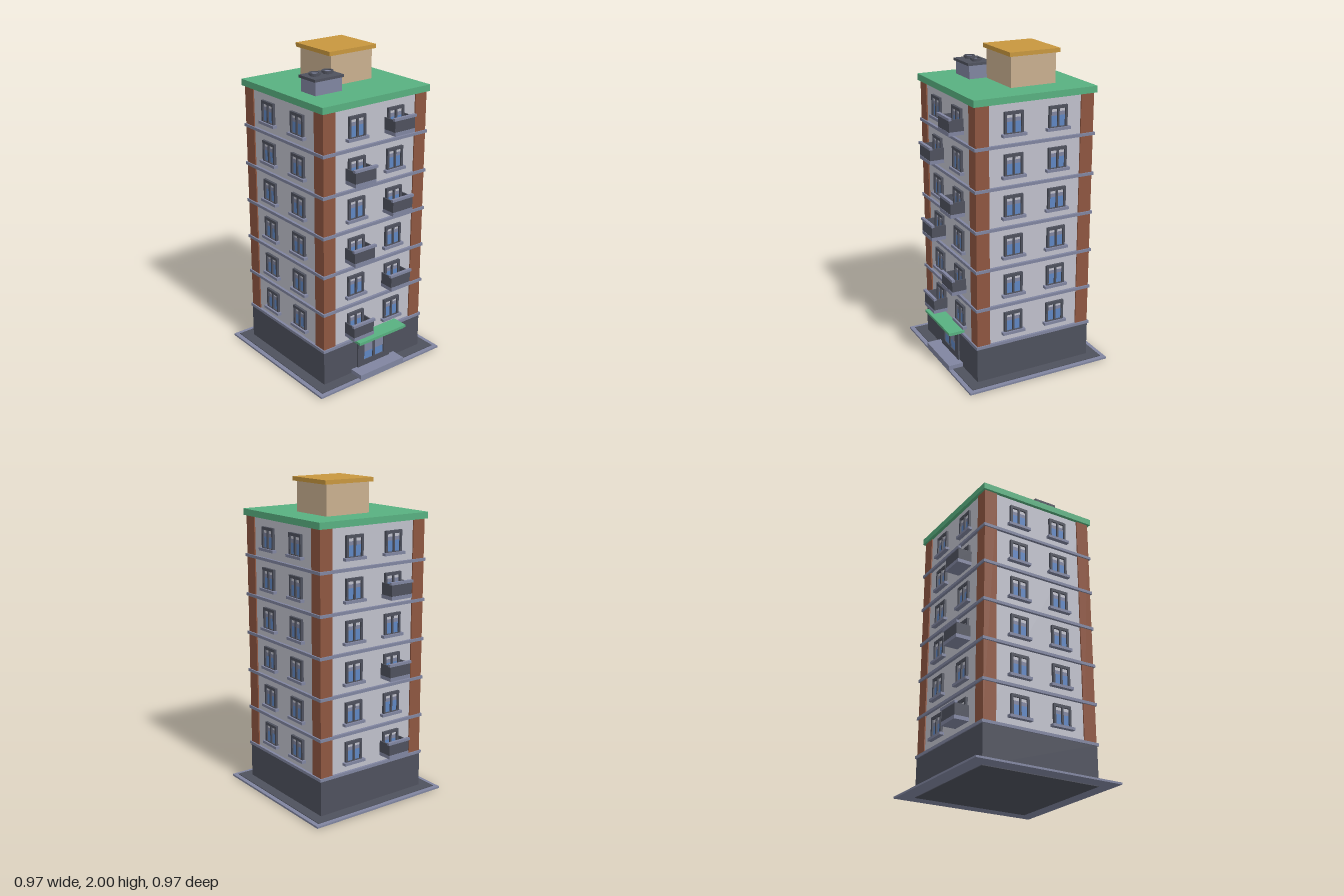
import * as THREE from 'three';

const paint = (name, color) => {
  const m = new THREE.MeshStandardMaterial({ color });
  m.name = name;
  return m;
};

export function createModel() {
  const wall = paint('pale wall', 0xbfc0cb);
  const brick = paint('brick', 0x8e5640);
  const dark = paint('charcoal', 0x4e515d);
  const slate = paint('slate trim', 0x8085a0);
  const green = paint('green roof', 0x58b080);
  const amber = paint('amber cap', 0xc8973e);
  const tan = paint('tan hut', 0xc9af8f);
  const glass = paint('blue glass', 0x5f86c2);

  const FLOORS = 6, STOREY = 0.25, GROUND = 0.25, WALL = 0.38;
  const model = new THREE.Group();
  model.name = 'apartmentTower';

  const add = (parent, name, geometry, material) => {
    const mesh = new THREE.Mesh(geometry, material);
    mesh.name = name;
    parent.add(mesh);
    return mesh;
  };
  // box given by its minimum and maximum on each axis
  const box = (parent, name, material, x0, x1, y0, y1, z0, z1) => {
    const g = new THREE.BoxGeometry(x1 - x0, y1 - y0, z1 - z0);
    g.translate((x0 + x1) / 2, (y0 + y1) / 2, (z0 + z1) / 2);
    return add(parent, name, g, material);
  };
  const square = (name, material, half, y0, y1) =>
    box(model, name, material, -half, half, y0, y1, -half, half);
  // flat frame with rectangular openings, [x0, x1, y0, y1] each
  const rect = (path, [x0, x1, y0, y1]) =>
    path.moveTo(x0, y0).lineTo(x1, y0).lineTo(x1, y1).lineTo(x0, y1).closePath();
  const frameGeometry = (outer, holes, depth) => {
    const shape = rect(new THREE.Shape(), outer);
    holes.forEach((h) => shape.holes.push(rect(new THREE.Path(), h)));
    return new THREE.ExtrudeGeometry(shape, { depth, bevelEnabled: false });
  };

  // ground slab, base and tower body
  square('groundSlab', slate, 0.485, 0.004, 0.016);
  square('pavement', dark, 0.457, 0.015, 0.02);
  square('base', dark, 0.39, 0, GROUND);
  square('walls', wall, WALL, GROUND, 1.75);
  for (const sx of [-1, 1]) for (const sz of [-1, 1]) {
    const c = box(model, 'brickCorner', brick, -0.043, 0.043, GROUND, 1.75, -0.043, 0.043);
    c.position.set(sx * 0.345, 0, sz * 0.345);
  }
  for (let i = 0; i < FLOORS; i++) {
    const y = GROUND + i * STOREY;
    square('floorBand', slate, 0.397, y - 0.008, y + 0.01);
  }
  square('roof', green, 0.402, 1.75, 1.79);

  // window, built with its wall at z = 0 and its floor at y = 0
  const windowFrame = frameGeometry([-0.061, 0.061, 0.07, 0.2],
    [[-0.047, -0.006, 0.075, 0.182], [0.006, 0.047, 0.075, 0.182]], 0.016);
  const makeWindow = () => {
    const w = new THREE.Group();
    w.name = 'window';
    add(w, 'windowFrame', windowFrame, dark);
    box(w, 'windowSill', slate, -0.077, 0.077, 0.054, 0.071, -0.002, 0.028);
    for (const x of [-0.0265, 0.0265]) {
      const a = x - 0.0205, b = x + 0.0205;
      box(w, 'paneLower', glass, a, b, 0.075, 0.14, 0, 0.006);
      box(w, 'paneUpper', slate, a, b, 0.14, 0.163, 0, 0.006);
      box(w, 'paneBlind', wall, a, b, 0.163, 0.182, 0, 0.006);
    }
    return w;
  };

  // balcony with floor slab, three panels and a front rail
  const makeBalcony = () => {
    const b = new THREE.Group();
    b.name = 'balcony';
    box(b, 'balconyFloor', slate, -0.077, 0.077, 0.05, 0.073, 0, 0.095);
    box(b, 'balconyFront', dark, -0.077, 0.077, 0.073, 0.145, 0.083, 0.093);
    for (const s of [-1, 1])
      box(b, 'balconySide', dark, s * 0.073 - 0.004, s * 0.073 + 0.004, 0.073, 0.145, 0, 0.084);
    box(b, 'balconyRail', slate, -0.085, 0.085, 0.142, 0.158, 0.079, 0.098);
    return b;
  };

  // four facades: front, left, back, right
  for (let f = 0; f < 4; f++) {
    const side = new THREE.Group();
    side.name = ['frontFacade', 'leftFacade', 'backFacade', 'rightFacade'][f];
    side.rotation.y = f * Math.PI / 2;
    for (let i = 0; i < FLOORS; i++) for (const s of [-1, 1]) {
      const place = (part) => {
        part.position.set(s * 0.145, GROUND + i * STOREY, WALL);
        side.add(part);
      };
      place(makeWindow());
      const onFront = f === 0 && s === (i % 2 ? 1 : -1);
      const onBack = f === 2 && s === 1 && i % 2 === 0;
      if (onFront || onBack) place(makeBalcony());
    }
    model.add(side);
  }

  // entrance: portal, glazed doors, step and canopy
  const portal = frameGeometry([-0.13, 0.13, 0.016, 0.245],
    [[-0.08, -0.008, 0.083, 0.217], [0.008, 0.08, 0.083, 0.217]], 0.012);
  add(model, 'doorPortal', portal, dark).position.z = 0.389;
  for (const s of [-1, 1]) {
    const x = s * 0.044;
    box(model, 'doorPaneLower', glass, x - 0.036, x + 0.036, 0.083, 0.135, 0.388, 0.394);
    box(model, 'doorPaneUpper', slate, x - 0.036, x + 0.036, 0.135, 0.2, 0.388, 0.394);
    box(model, 'doorPaneTop', wall, x - 0.036, x + 0.036, 0.2, 0.217, 0.388, 0.394);
  }
  box(model, 'entranceStep', slate, -0.175, 0.175, 0.016, 0.046, 0.388, 0.485);
  box(model, 'canopyTop', green, -0.187, 0.187, 0.264, 0.28, 0.379, 0.485);
  box(model, 'canopyLip', green, -0.175, 0.175, 0.254, 0.265, 0.379, 0.475);

  // rooftop hut
  box(model, 'roofHut', tan, -0.09, 0.222, 1.79, 1.976, -0.222, 0.077);
  box(model, 'roofHutCap', amber, -0.11, 0.242, 1.975, 2, -0.24, 0.092);

  // rooftop cooling unit with two fans
  box(model, 'coolingUnit', slate, -0.29, -0.098, 1.79, 1.875, 0.053, 0.19);
  box(model, 'coolingUnitCap', dark, -0.3, -0.09, 1.872, 1.888, 0.043, 0.2);
  for (const x of [-0.242, -0.148]) {
    const ring = [[0.028, 0], [0.028, 0.008], [0.035, 0.008], [0.035, 0.02], [0.024, 0.02], [0.024, 0.013]];
    const fan = add(model, 'fanRing', new THREE.LatheGeometry(
      ring.map(([r, y]) => new THREE.Vector2(r, y)), 16).toNonIndexed(), dark);
    fan.geometry.computeVertexNormals();
    fan.position.set(x, 1.887, 0.12);
    add(model, 'fanHub', new THREE.CylinderGeometry(0.0245, 0.0245, 0.014, 16), slate)
      .position.set(x, 1.894, 0.12);
  }
  return model;
}
